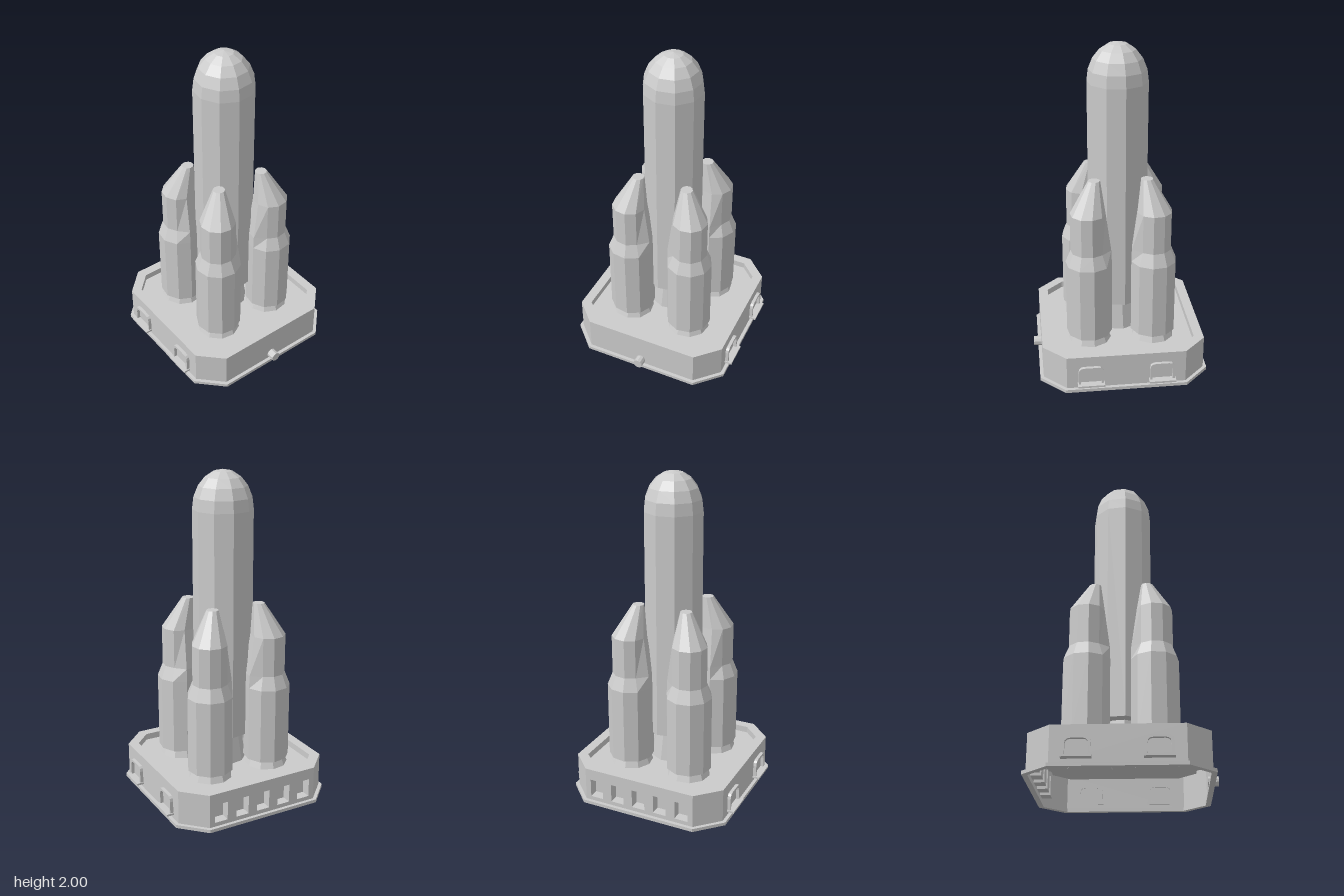
import * as THREE from 'three';

const mat = new THREE.MeshStandardMaterial({ color: 0xcccccc, flatShading: true });
const thin = new THREE.MeshStandardMaterial({ color: 0xcccccc, flatShading: true, side: THREE.DoubleSide });
const TWIST = THREE.MathUtils.degToRad(-9);
const SIDES = 10;

function add(parent, name, geo, material = mat, x = 0, y = 0, z = 0) {
  const m = new THREE.Mesh(geo, material);
  m.name = name;
  m.position.set(x, y, z);
  parent.add(m);
  return m;
}

// Skin a stack of closed rings of [x, y, z] points with flat quads
function loft(rings) {
  const pos = [];
  for (let i = 0; i < rings.length - 1; i++) {
    const lo = rings[i], hi = rings[i + 1], n = lo.length;
    for (let k = 0; k < n; k++) {
      const j = (k + 1) % n;
      pos.push(...lo[k], ...hi[k], ...lo[j], ...hi[k], ...hi[j], ...lo[j]);
    }
  }
  const g = new THREE.BufferGeometry();
  g.setAttribute('position', new THREE.Float32BufferAttribute(pos, 3));
  g.computeVertexNormals();
  return g;
}

// Square with cut corners: half width h, half length f of each straight side
const octagon = (h, f) => [[h, -f], [h, f], [f, h], [-f, h], [-h, f], [-h, -f], [-f, -h], [f, -h]];
const toV2 = (pts) => pts.map(([x, y]) => new THREE.Vector2(x, y));
const octRing = (h, f, y) => octagon(h, f).map(([x, z]) => [x, y, z]);

function octShape(h, f, holeH, holeF) {
  const s = new THREE.Shape(toV2(octagon(h, f)));
  if (holeH) s.holes.push(new THREE.Path(toV2(octagon(holeH, holeF))));
  return s;
}

function rect(ShapeType, x0, y0, x1, y1) {
  return new ShapeType(toV2([[x0, y0], [x1, y0], [x1, y1], [x0, y1]]));
}

// Arch outline with rounded top corners
function arch(ShapeType, w, y0, y1, r) {
  const s = new ShapeType();
  s.moveTo(-w, y0);
  s.lineTo(w, y0);
  s.lineTo(w, y1 - r);
  s.quadraticCurveTo(w, y1, w - r, y1);
  s.lineTo(-w + r, y1);
  s.quadraticCurveTo(-w, y1, -w, y1 - r);
  s.closePath();
  return s;
}

function buildPad() {
  const pad = new THREE.Group();
  pad.name = 'launchPad';
  const H = 0.495, F = 0.36, TOP = 0.23, DECK = 0.19;

  // Foot flange
  const flange = new THREE.ExtrudeGeometry(octShape(0.516, 0.368, 0.485, 0.355), { depth: 0.02, bevelEnabled: false });
  add(pad, 'footFlange', flange.rotateX(-Math.PI / 2));

  // Hollow outer wall; the back side (index 6 to 7) is a separate pierced panel
  const lo = octRing(H, F, 0.01), hi = octRing(H, F, TOP);
  const wall = loft([lo, hi]);
  const p = Array.from(wall.attributes.position.array);
  p.splice(6 * 18, 18);
  wall.setAttribute('position', new THREE.Float32BufferAttribute(p, 3));
  wall.deleteAttribute('normal');
  wall.computeVertexNormals();
  add(pad, 'outerWall', wall, thin);

  // Back panel with five vent pockets
  const panel = rect(THREE.Shape, -F, 0.01, F, TOP);
  const VW = 0.042, V0 = 0.045, V1 = 0.16, DEPTH = 0.06;
  for (let i = -2; i <= 2; i++) {
    const x = i * 0.142;
    panel.holes.push(rect(THREE.Path, x - VW, V0, x + VW, V1));
    const ring = (w, z) => [[x - w, V0, z], [x + w, V0, z], [x + w, V1, z], [x - w, V1, z]];
    const mid = [x, (V0 + V1) / 2, -H + DEPTH];
    add(pad, 'ventPocket', loft([ring(VW, -H), ring(VW, -H + DEPTH), [mid, mid, mid, mid]]), thin);
  }
  add(pad, 'backPanel', new THREE.ShapeGeometry(panel).rotateY(Math.PI), thin, 0, 0, -H);

  // Top rim, step down and sunken deck
  add(pad, 'topRim', new THREE.ShapeGeometry(octShape(H, F, 0.435, 0.335)).rotateX(-Math.PI / 2), thin, 0, TOP, 0);
  add(pad, 'deckStep', loft([octRing(0.435, 0.335, TOP), octRing(0.435, 0.335, DECK)]), thin);
  add(pad, 'deck', new THREE.ShapeGeometry(octShape(0.435, 0.335)).rotateX(-Math.PI / 2), thin, 0, DECK, 0);

  // Side hatches: arched frame standing on a sill
  for (const sx of [-1, 1]) for (const sz of [-1, 1]) {
    const hatch = new THREE.Group();
    hatch.name = 'sideHatch';
    const frame = arch(THREE.Shape, 0.075, 0.05, 0.165, 0.035);
    frame.holes.push(arch(THREE.Path, 0.062, 0.055, 0.15, 0.03));
    const g = new THREE.ExtrudeGeometry(frame, { depth: 0.025, bevelEnabled: false, curveSegments: 3 });
    add(hatch, 'hatchFrame', g, mat, 0, 0, -0.005);
    add(hatch, 'hatchSill', new THREE.BoxGeometry(0.162, 0.012, 0.05), mat, 0, 0.05, 0.02);
    hatch.position.set(sx * H, 0, sz * 0.2155);
    hatch.rotation.y = sx * Math.PI / 2;
    pad.add(hatch);
  }

  // Front connector stub
  add(pad, 'frontConnector', new THREE.CylinderGeometry(0.03, 0.03, 0.06, 10).rotateX(Math.PI / 2), mat, 0, 0.05, 0.5135);
  return pad;
}

function buildCore() {
  const core = new THREE.Group();
  core.name = 'coreStage';
  // Straight body topped by a faceted dome
  const R = 0.18, Y = 1.77;
  const profile = [new THREE.Vector2(0, 0.385), new THREE.Vector2(R, 0.385)];
  for (let i = 0; i <= 5; i++) {
    const a = (i / 5) * Math.PI / 2;
    profile.push(new THREE.Vector2(i === 5 ? 0 : R * Math.cos(a), Y + 0.23 * Math.sin(a)));
  }
  add(core, 'coreBody', new THREE.LatheGeometry(profile, SIDES, TWIST));
  add(core, 'coreNozzle', new THREE.CylinderGeometry(0.11, 0.143, 0.2, SIDES, 1, false, TWIST), mat, 0, 0.287, 0);
  return core;
}

// Strap-on booster whose nose leans in toward the core
function buildBooster(sx, sz) {
  const booster = new THREE.Group();
  booster.name = 'booster';
  const C = 0.197;
  // height, outer radius, radius on the side facing the core, inward shift
  const sections = [
    [0.24, 0, 0, 0], [0.24, 0.14, 0.14, 0], [0.71, 0.14, 0.14, 0], [0.79, 0.108, 0.137, 0],
    [1.03, 0.108, 0.104, 0], [1.22, 0.036, 0.036, 0.041], [1.22, 0, 0, 0.041],
  ];
  const rings = sections.map(([y, rOut, rIn, shift]) => {
    const ring = [];
    for (let k = 0; k < SIDES; k++) {
      const a = -TWIST + (k / SIDES) * Math.PI * 2;
      const dx = -Math.sin(a), dz = Math.cos(a);
      const r = -(dx + dz) * Math.SQRT1_2 > 0.5 ? rIn : rOut;
      ring.push([sx * (C - shift + r * dx), y, sz * (C - shift + r * dz)]);
    }
    return sx * sz < 0 ? ring.reverse() : ring;
  });
  add(booster, 'boosterBody', loft(rings));
  add(booster, 'boosterNozzle', new THREE.CylinderGeometry(0.112, 0.135, 0.06, SIDES, 1, false, sx * sz * TWIST), mat, sx * C, 0.215, sz * C);
  return booster;
}

export function createModel() {
  const model = new THREE.Group();
  model.name = 'rocketOnPad';
  const body = new THREE.Group();
  body.name = 'rocketAndPad';
  body.position.z = -0.0135;
  body.add(buildPad(), buildCore());
  for (const sx of [-1, 1]) for (const sz of [-1, 1]) body.add(buildBooster(sx, sz));
  model.add(body);
  return model;
}
